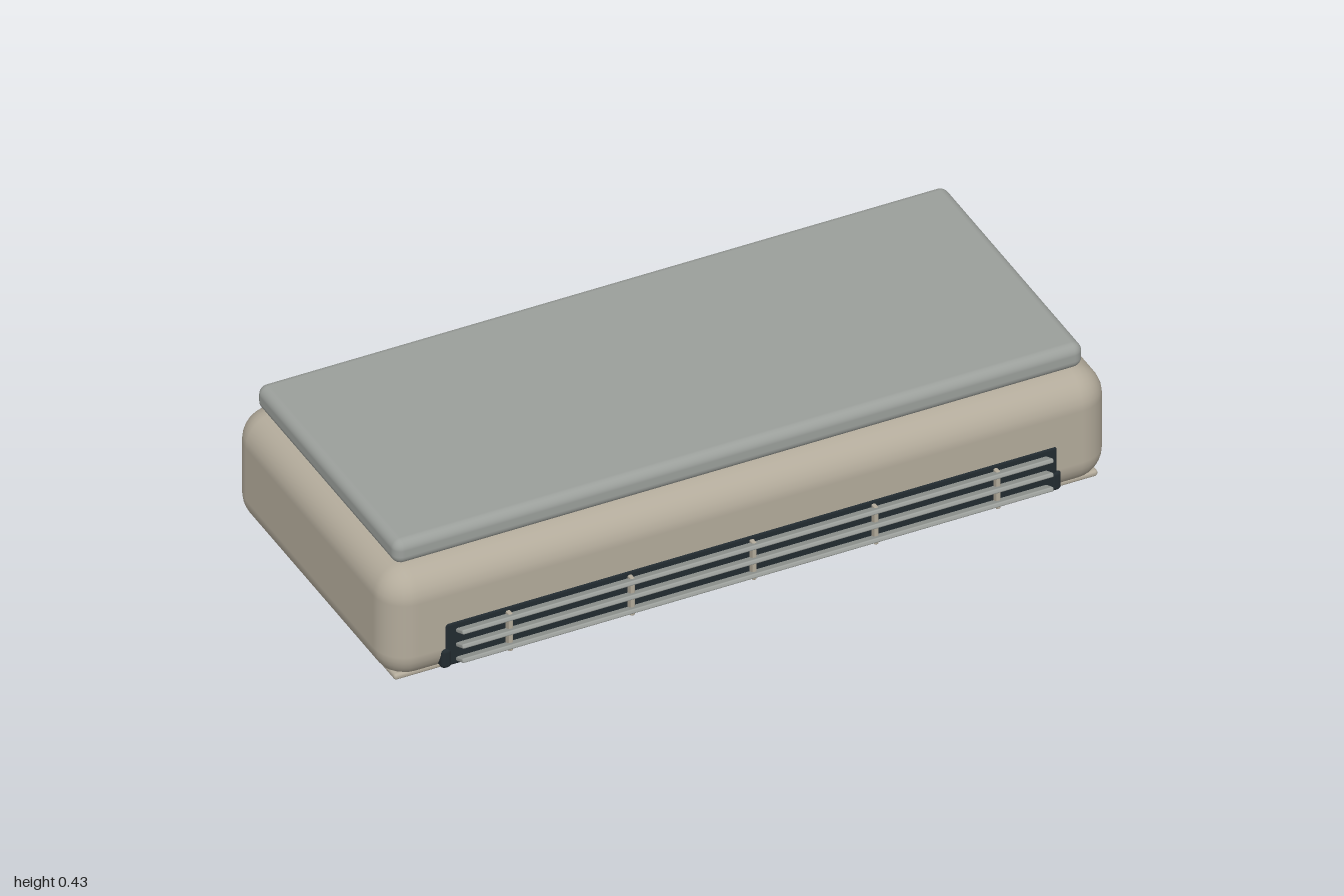
import * as THREE from 'three';
import { RoundedBoxGeometry } from 'three/addons/geometries/RoundedBoxGeometry.js';

const paint = (color) => new THREE.MeshStandardMaterial({ color });

export function createModel() {
  const model = new THREE.Group();
  const shell = paint(0xb3ab9b);
  const metal = paint(0x9b9f9b);
  const dark = paint(0x222b30);

  // Rounded box given by its extents on each axis
  function block(name, [x0, x1], [y0, y1], [z0, z1], radius, material, segments = 3, parent = model) {
    const geometry = new RoundedBoxGeometry(x1 - x0, y1 - y0, z1 - z0, segments, radius);
    const mesh = new THREE.Mesh(geometry, material);
    mesh.name = name;
    mesh.position.set((x0 + x1) / 2, (y0 + y1) / 2, (z0 + z1) / 2);
    parent.add(mesh);
    return mesh;
  }
  function group(name) {
    const g = new THREE.Group();
    g.name = name;
    model.add(g);
    return g;
  }

  // Housing, raised lid and thin base tray
  block('housing', [-1, 1], [0.04, 0.366], [-0.455, 0.415], 0.085, shell, 4);
  block('lid', [-0.95, 0.95], [0.363, 0.433], [-0.415, 0.355], 0.026, metal, 4);
  block('baseTray', [-0.97, 0.97], [0.05, 0.068], [-0.415, 0.39], 0.008, shell);

  // Front air outlet: dark recess, end caps, tilted louvres and dividers
  const outlet = group('frontOutlet');
  block('outletRecess', [-0.845, 0.845], [0.068, 0.2], [0.385, 0.418], 0.01, dark, 2, outlet);
  for (const s of [-1, 1]) {
    block('outletEndCap', [s * 0.84 - 0.015, s * 0.84 + 0.015], [0.065, 0.125], [0.385, 0.421], 0.012, dark, 3, outlet);
  }
  for (const y of [0.18, 0.137, 0.094]) {
    const louvre = block('louvre', [-0.815, 0.815], [y - 0.006, y + 0.006], [0.413, 0.457], 0.004, metal, 2, outlet);
    louvre.rotation.x = -0.42;
  }
  for (let i = -2; i <= 2; i++) {
    const x = i * 0.336;
    block('louvreDivider', [x - 0.006, x + 0.006], [0.075, 0.188], [0.41, 0.436], 0.003, shell, 1, outlet);
  }

  // Underside intake: dark plate with a row of slats
  const intake = group('bottomIntake');
  block('intakePlate', [-0.76, 0.76], [0.024, 0.05], [-0.29, 0.178], 0.009, dark, 2, intake);
  for (let i = -10; i <= 10; i++) {
    const x = i * 0.0715;
    block('intakeSlat', [x - 0.017, x + 0.017], [0.009, 0.03], [-0.265, 0.157], 0.007, metal, 2, intake);
  }

  // Rear feet
  for (const s of [-1, 1]) {
    block(s > 0 ? 'leftFoot' : 'rightFoot', [s * 0.9 - 0.018, s * 0.9 + 0.018], [0, 0.06], [-0.355, -0.19], 0.011, metal);
  }

  return model;
}
